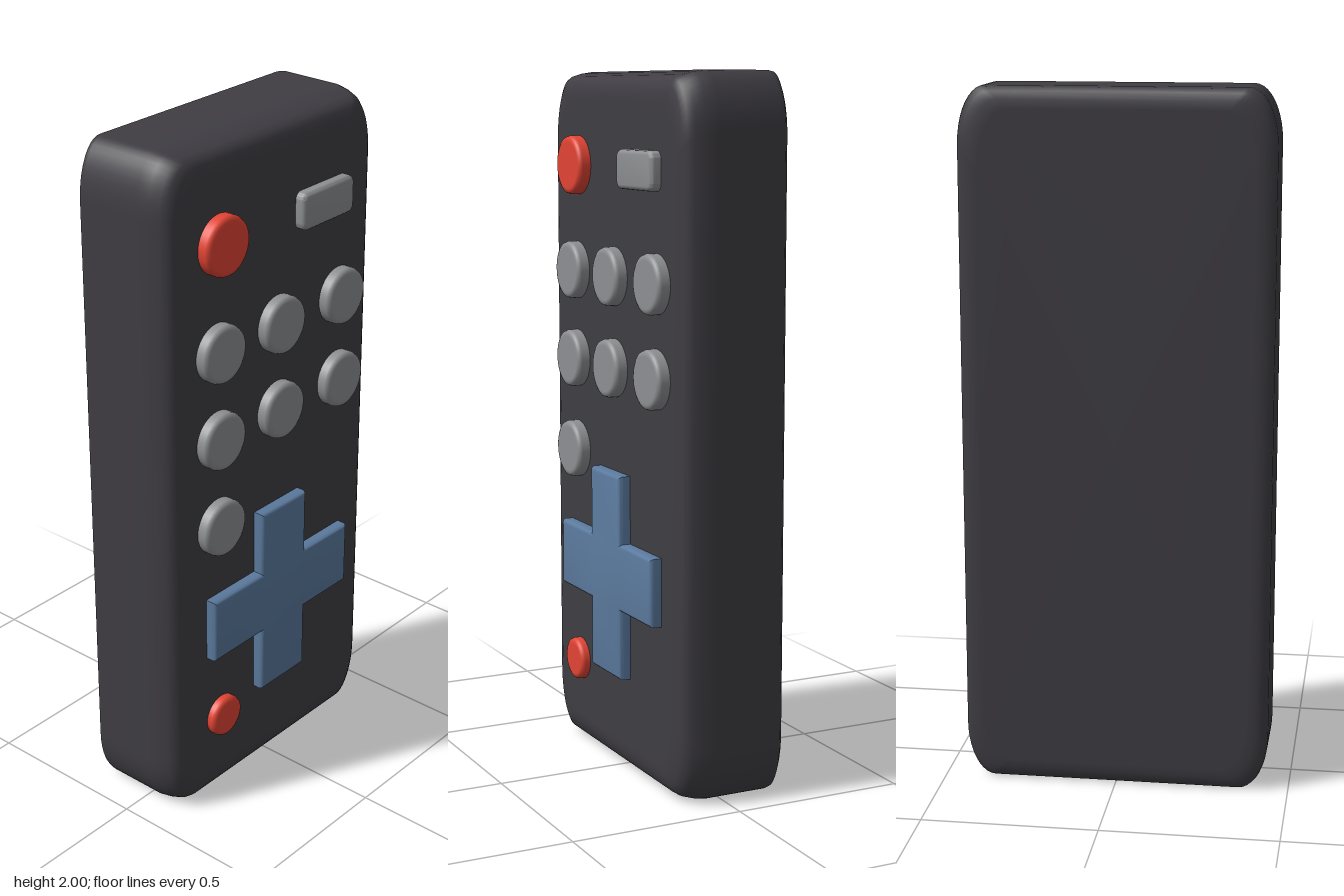
import * as THREE from 'three';
import { toCreasedNormals } from 'three/addons/utils/BufferGeometryUtils.js';

const material = (name, color) => {
  const m = new THREE.MeshStandardMaterial({ color });
  m.name = name;
  return m;
};

// Rounded-rectangle outline with elliptical corners, in (y, z)
function outline(inset, steps = 10) {
  const hy = 1 - inset, hz = 0.44 - inset, ry = 0.16, rz = 0.08;
  const pts = [];
  [[1, 1], [-1, 1], [-1, -1], [1, -1]].forEach(([sy, sz], k) => {
    for (let i = 0; i <= steps; i++) {
      const a = (k + i / steps) * Math.PI / 2;
      pts.push([1 + sy * (hy - ry) + ry * Math.cos(a), sz * (hz - rz) + rz * Math.sin(a)]);
    }
  });
  return pts;
}

// Casing: outlines stacked along x, each inset to round off the rims
function bodyGeometry() {
  const sections = [[-0.18, 0.06], [-0.177, 0.035], [-0.171, 0.015], [-0.16, 0.003], [-0.145, 0],
    [0.04, 0], [0.075, 0.005], [0.105, 0.013], [0.122, 0.023], [0.132, 0.038], [0.138, 0.06], [0.14, 0.085]];
  const pos = [], idx = [];
  let n = 0;
  for (const [x, inset] of sections) {
    const ring = outline(inset);
    n = ring.length;
    for (const [y, z] of ring) pos.push(x, y, z);
  }
  const last = sections.length - 1;
  for (let s = 0; s < last; s++) {
    for (let i = 0; i < n; i++) {
      const a = s * n + i, b = s * n + (i + 1) % n, c = a + n, d = b + n;
      idx.push(a, b, c, b, d, c);
    }
  }
  // Flat caps
  const back = pos.length / 3, front = back + 1;
  pos.push(-0.18, 1, 0, 0.14, 1, 0);
  for (let i = 0; i < n; i++) {
    const j = (i + 1) % n;
    idx.push(back, j, i, front, last * n + i, last * n + j);
  }
  const g = new THREE.BufferGeometry();
  g.setAttribute('position', new THREE.Float32BufferAttribute(pos, 3));
  g.setIndex(idx);
  g.computeVertexNormals();
  return g;
}

// Round button with a softened rim, standing out along +x
function roundButton(radius, top) {
  const h = top - 0.12, e = 0.012;
  const pts = [[radius, 0], [radius, h - e], [radius - e * 0.3, h - e * 0.3],
    [radius - e, h], [radius - e * 1.5, h], [0, h]].map(p => new THREE.Vector2(...p));
  return new THREE.LatheGeometry(pts, 40).rotateZ(-Math.PI / 2).translate(0.12, 0, 0);
}

// Bevelled plate from a (-z, y) shape, standing out along +x
function plate(shape, top) {
  const e = 0.012;
  const g = new THREE.ExtrudeGeometry(shape, {
    depth: top - 0.11 - 2 * e, bevelEnabled: true, bevelThickness: e, bevelSize: e,
    bevelOffset: -e, bevelSegments: 3, curveSegments: 6,
  });
  g.rotateY(Math.PI / 2).translate(0.11 + e, 0, 0);
  return toCreasedNormals(g, 0.7);
}

function crossShape() {
  const [u0, u1, u2, u3] = [-0.297, -0.09, 0.103, 0.3];
  const [v0, v1, v2, v3] = [0.287, 0.488, 0.682, 0.877];
  return new THREE.Shape([[u1, v0], [u2, v0], [u2, v1], [u3, v1], [u3, v2], [u2, v2],
    [u2, v3], [u1, v3], [u1, v2], [u0, v2], [u0, v1], [u1, v1]].map(p => new THREE.Vector2(...p)));
}

function barShape() {
  const u0 = 0.077, u1 = 0.297, v0 = 1.68, v1 = 1.788, r = 0.022;
  const s = new THREE.Shape();
  s.absarc(u1 - r, v0 + r, r, -Math.PI / 2, 0);
  s.absarc(u1 - r, v1 - r, r, 0, Math.PI / 2);
  s.absarc(u0 + r, v1 - r, r, Math.PI / 2, Math.PI);
  s.absarc(u0 + r, v0 + r, r, Math.PI, Math.PI * 1.5);
  return s;
}

export function createModel() {
  const charcoal = material('charcoal', 0x3f3d43);
  const grey = material('grey', 0x8e8f92);
  const blue = material('blue', 0x5b7a9e);
  const red = material('red', 0xe24434);

  const model = new THREE.Group();
  model.name = 'remoteControl';
  const add = (name, geometry, mat, y = 0, z = 0) => {
    const mesh = new THREE.Mesh(geometry, mat);
    mesh.name = name;
    mesh.position.set(0, y, z);
    model.add(mesh);
  };

  add('body', bodyGeometry(), charcoal);
  add('powerButton', roundButton(0.084, 0.176), red, 1.735, 0.235);
  add('smallRedButton', roundButton(0.062, 0.167), red, 0.265, 0.235);
  add('barButton', plate(barShape(), 0.171), grey);
  add('directionPad', plate(crossShape(), 0.175), blue);

  // Two rows of three keys and a single key below
  const key = roundButton(0.083, 0.176);
  for (const y of [1.432, 1.173]) {
    for (const z of [0.247, -0.005, -0.27]) add('keyButton', key, grey, y, z);
  }
  add('keyButton', key, grey, 0.904, 0.247);
  return model;
}
